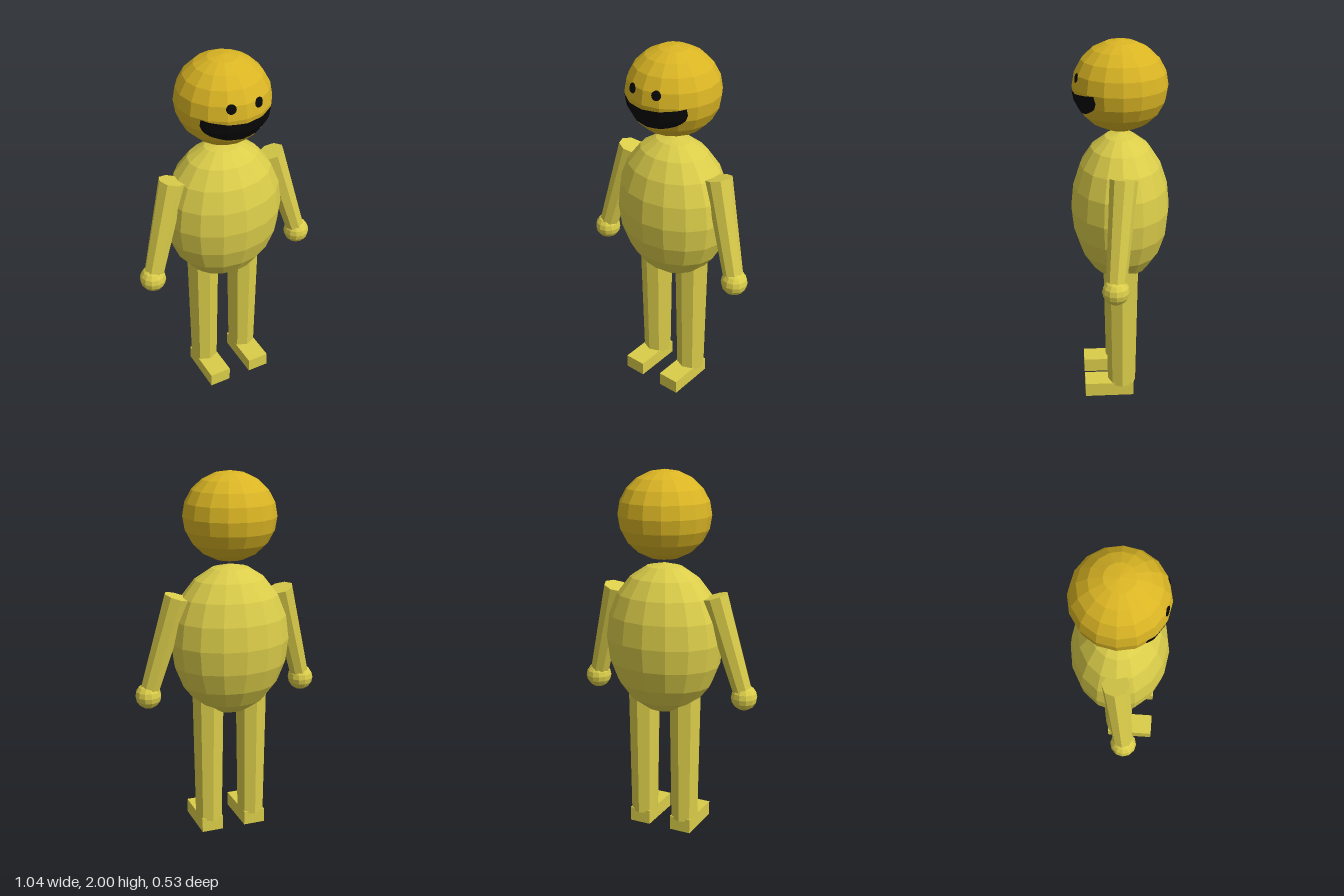
import * as THREE from 'three';

export function createModel() {
  const model = new THREE.Group();
  const material = (name, color) => {
    const m = new THREE.MeshStandardMaterial({ color, flatShading: true });
    m.name = name;
    return m;
  };
  const skin = material('pale yellow', 0xdbcd4a);
  const gold = material('golden yellow', 0xdab524);
  const black = material('black', 0x080808);

  const add = (name, geometry, mat, x = 0, y = 0, z = 0) => {
    const mesh = new THREE.Mesh(geometry, mat);
    mesh.name = name;
    mesh.position.set(x, y, z);
    model.add(mesh);
    return mesh;
  };

  // Faceted ellipsoids for the head and torso
  const ellipsoid = (rx, ry, rz) => new THREE.SphereGeometry(1, 16, 10).scale(rx, ry, rz);
  const head = add('head', ellipsoid(0.248, 0.235, 0.248), gold, 0, 1.765);
  add('body', ellipsoid(0.328, 0.415, 0.264), skin, 0, 1.1);

  // Tapered eight-sided limb between two points
  const limb = (name, top, bottom, rTop, rBottom) => {
    const axis = top.clone().sub(bottom);
    const mesh = add(name, new THREE.CylinderGeometry(rTop, rBottom, axis.length(), 8), skin);
    mesh.position.copy(top).add(bottom).multiplyScalar(0.5);
    mesh.quaternion.setFromUnitVectors(new THREE.Vector3(0, 1, 0), axis.normalize());
  };

  for (const [side, s] of [['left', 1], ['right', -1]]) {
    const hand = new THREE.Vector3(s * 0.45, 0.815, 0.05);
    limb(side + 'Arm', new THREE.Vector3(s * 0.293, 1.36, 0), hand, 0.072, 0.052);
    add(side + 'Hand', new THREE.SphereGeometry(0.071, 12, 8), skin, hand.x, hand.y, hand.z);
    limb(side + 'Leg', new THREE.Vector3(s * 0.126, 0.86, 0), new THREE.Vector3(s * 0.126, 0.065, 0), 0.091, 0.078);
    add(side + 'Foot', new THREE.BoxGeometry(0.122, 0.08, 0.272), skin, s * 0.126, 0.04, 0.072);
  }

  // Lay flat face details onto the front of the faceted head
  head.updateMatrixWorld(true);
  const ray = new THREE.Raycaster();
  const back = new THREE.Vector3(0, 0, -1);
  const drape = (name, geometry) => {
    const p = geometry.attributes.position;
    for (let i = 0; i < p.count; i++) {
      ray.set(new THREE.Vector3(p.getX(i), p.getY(i), 1), back);
      const hit = ray.intersectObject(head)[0];
      p.setZ(i, (hit ? hit.point.z : 0.2) + 0.004);
    }
    add(name, geometry, black);
  };

  // Open grin: a grid bent between its upper and lower curves
  const mouth = new THREE.PlaneGeometry(2, 1, 40, 8);
  const p = mouth.attributes.position;
  for (let i = 0; i < p.count; i++) {
    const t = p.getX(i);
    const upper = 1.743 + 0.02 * t * t;
    const lower = 1.725 - 0.09 * Math.sqrt(Math.max(0, 1 - t * t));
    p.setXY(i, t * 0.198, THREE.MathUtils.lerp(lower, upper, p.getY(i) + 0.5));
  }
  drape('mouth', mouth);

  // Round eyes
  for (const [side, s] of [['left', 1], ['right', -1]]) {
    drape(side + 'Eye', new THREE.RingGeometry(0.0001, 0.025, 16, 3).translate(s * 0.075, 1.826, 0));
  }
  return model;
}
